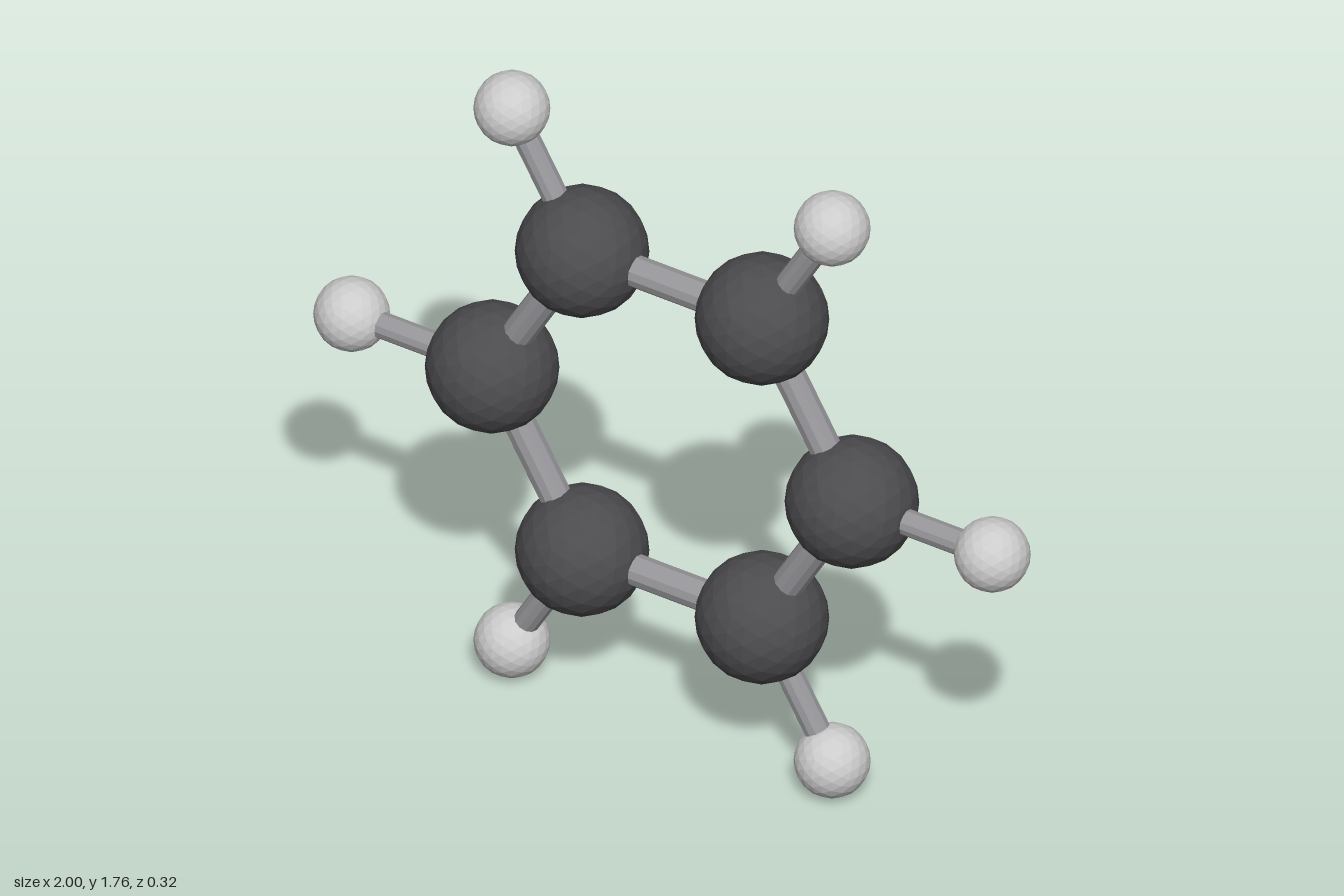
import * as THREE from 'three';

const CENTER_Y = 0.88;
const RING_RADIUS = 0.51;   // inner atoms
const OUTER_RADIUS = 0.908; // outer atoms

const material = (color) => new THREE.MeshStandardMaterial({ color, flatShading: true });

// Point on the upright hexagon, k counted in sixths of a turn
function hexPoint(radius, k) {
  const a = (k * Math.PI) / 3;
  return new THREE.Vector3(radius * Math.cos(a), CENTER_Y + radius * Math.sin(a), 0);
}

function atom(name, position, radius, mat) {
  const mesh = new THREE.Mesh(new THREE.IcosahedronGeometry(radius, 3), mat);
  mesh.name = name;
  mesh.position.copy(position);
  return mesh;
}

// Rod running between two atom centres
function bond(name, from, to, radius, mat) {
  const dir = to.clone().sub(from);
  const mesh = new THREE.Mesh(new THREE.CylinderGeometry(radius, radius, dir.length(), 12), mat);
  mesh.name = name;
  mesh.position.copy(from).add(to).multiplyScalar(0.5);
  mesh.quaternion.setFromUnitVectors(new THREE.Vector3(0, 1, 0), dir.normalize());
  return mesh;
}

export function createModel() {
  const model = new THREE.Group();
  model.name = 'ringMolecule';
  const dark = material(0x4c4c4f);
  const pale = material(0xcccccc);
  const rod = material(0x97979b);

  for (let k = 0; k < 6; k++) {
    const inner = hexPoint(RING_RADIUS, k);
    const next = hexPoint(RING_RADIUS, k + 1);
    const outer = hexPoint(OUTER_RADIUS, k);
    model.add(
      atom('carbonAtom', inner, 0.161, dark),
      atom('hydrogenAtom', outer, 0.092, pale),
      bond('ringBond', inner, next, 0.04, rod),
      bond('outerBond', inner, outer, 0.033, rod)
    );
  }
  return model;
}
